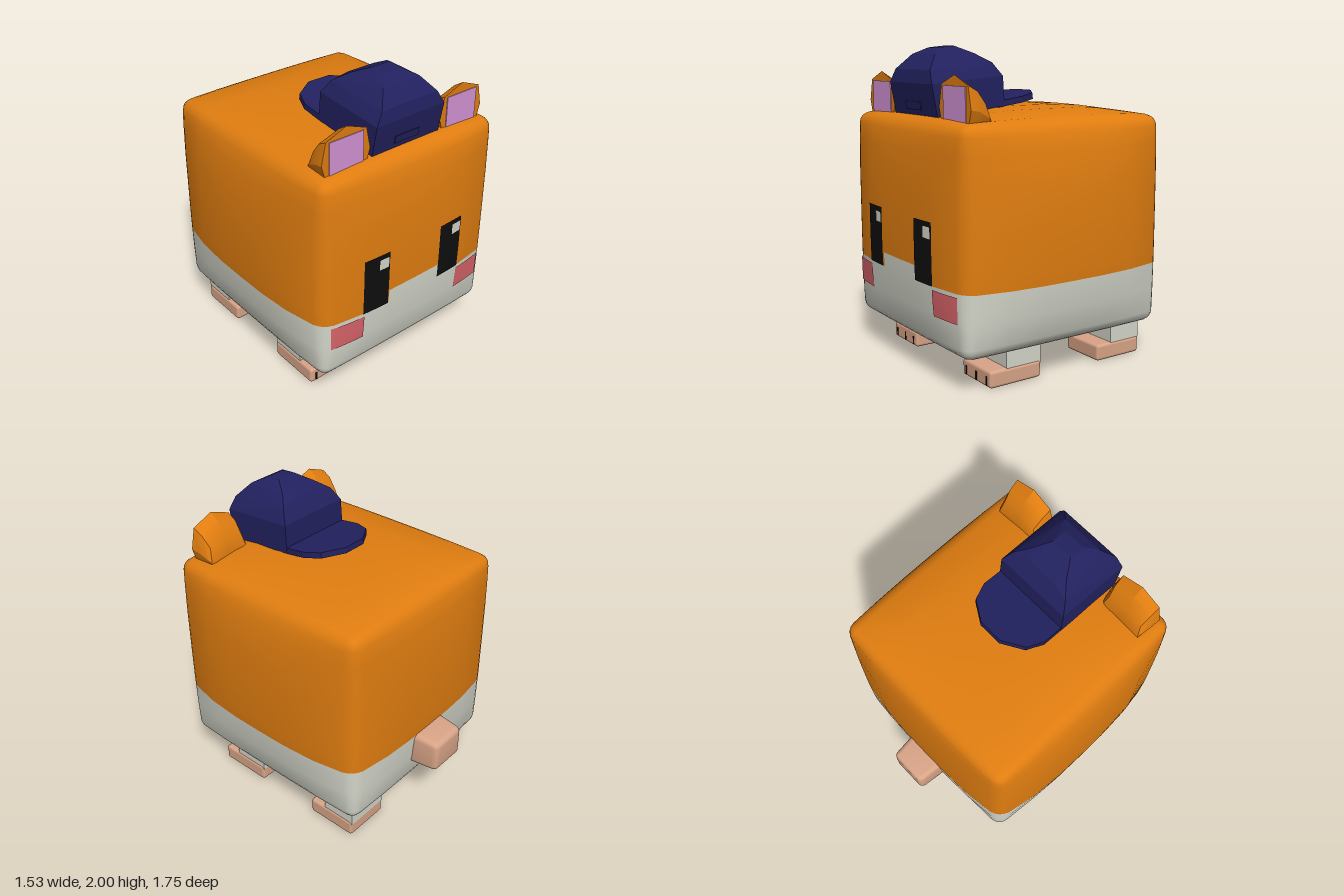
import * as THREE from 'three';
import { toCreasedNormals } from 'three/addons/utils/BufferGeometryUtils.js';
import { RoundedBoxGeometry } from 'three/addons/geometries/RoundedBoxGeometry.js';
import { ConvexGeometry } from 'three/addons/geometries/ConvexGeometry.js';

const material = (name, color) => {
  const m = new THREE.MeshStandardMaterial({ color });
  m.name = name;
  return m;
};

// Body half sizes, centre and edge radius
const HALF = new THREE.Vector3(0.68, 0.675, 0.73);
const CENTRE = new THREE.Vector3(0, 0.895, 0.08);
const RADIUS = 0.07;

// Rounds the edges of a box point and puffs its faces outward
function puff(p) {
  const inner = HALF.clone().subScalar(RADIUS);
  const q = p.clone().clamp(inner.clone().negate(), inner);
  const d = p.clone().sub(q);
  if (d.lengthSq() > 0) {
    const reach = Math.max(Math.abs(d.x), Math.abs(d.y), Math.abs(d.z));
    d.setLength(reach);
  }
  p.copy(q).add(d);
  const t = p.clone().divide(HALF);
  const f = (v) => 1 - Math.min(1, Math.abs(v)) ** 3;
  p.x += 0.085 * t.x * f(t.y) * f(t.z);
  p.z += 0.06 * t.z * f(t.x) * f(t.y);
  p.y += (t.y > 0 ? 0.065 : -0.02) * t.y ** 4 * f(t.x) * f(t.z);
  return p.add(CENTRE);
}

function bodyGeometry() {
  // Grid lines of the box, placed so the colour border follows them
  const xs = [-0.68, -0.645, -0.61, -0.4, -0.21, 0, 0.21, 0.4, 0.61, 0.645, 0.68];
  const ys = [0.22, 0.255, 0.29, 0.45, 0.62, 0.71, 0.9, 1.2, 1.4, 1.5, 1.535, 1.57].map((y) => y - CENTRE.y);
  const zs = [-0.73, -0.695, -0.66, -0.45, -0.22, 0, 0.22, 0.45, 0.66, 0.695, 0.73];
  const geo = new THREE.BoxGeometry(2, 2, 2, xs.length - 1, ys.length - 1, zs.length - 1);
  const pos = geo.attributes.position;
  const stop = (list, v) => list[Math.round(((v + 1) / 2) * (list.length - 1))];
  const p = new THREE.Vector3();
  for (let i = 0; i < pos.count; i++) {
    p.set(stop(xs, pos.getX(i)), stop(ys, pos.getY(i)), stop(zs, pos.getZ(i)));
    puff(p);
    pos.setXYZ(i, p.x, p.y, p.z);
  }
  // Sort faces into upper fur and pale belly, with a raised muzzle in front
  const upper = [], lower = [];
  const index = geo.index.array;
  for (let i = 0; i < index.length; i += 3) {
    const tri = [index[i], index[i + 1], index[i + 2]];
    const mean = (get) => tri.reduce((s, k) => s + get(k), 0) / 3;
    const x = mean((k) => pos.getX(k)), y = mean((k) => pos.getY(k)), z = mean((k) => pos.getZ(k));
    const pale = y < 0.62 || (y < 0.71 && z > 0.8 && Math.abs(x) < 0.21);
    (pale ? lower : upper).push(...tri);
  }
  geo.setIndex([...upper, ...lower]);
  geo.clearGroups();
  geo.addGroup(0, upper.length, 0);
  geo.addGroup(upper.length, lower.length, 1);
  return toCreasedNormals(geo, 0.6);
}

// Thin patch that follows the curved front of the body
function facePatch(x0, x1, y0, y1, lift) {
  const geo = new THREE.PlaneGeometry(x1 - x0, y1 - y0, 6, 6);
  geo.translate((x0 + x1) / 2, (y0 + y1) / 2, 0);
  const pos = geo.attributes.position;
  const p = new THREE.Vector3();
  for (let i = 0; i < pos.count; i++) {
    puff(p.set(pos.getX(i), pos.getY(i) - CENTRE.y, HALF.z));
    pos.setXYZ(i, p.x, p.y, p.z + lift);
  }
  geo.computeVertexNormals();
  return geo;
}

const hull = (points) => new ConvexGeometry(points.map((p) => new THREE.Vector3(...p)));

// Points mirrored in x
const mirrored = (points) => points.flatMap(([x, y, z]) => [[x, y, z], [-x, y, z]]);

export function createModel() {
  const model = new THREE.Group();
  model.name = 'hamster';
  const fur = material('orange fur', 0xe07d10);
  const cream = material('cream fur', 0xd4d6ca);
  const skin = material('peach skin', 0xd9a487);
  const navy = material('navy cloth', 0x22215f);
  const lilac = material('lilac inner ear', 0xd393d5);
  const blush = material('red blush', 0xd9646a);
  const black = material('black', 0x0e0e0e);

  const add = (name, geo, mat, x = 0, y = 0, z = 0) => {
    const mesh = new THREE.Mesh(geo, mat);
    mesh.name = name;
    mesh.position.set(x, y, z);
    model.add(mesh);
    return mesh;
  };

  add('body', bodyGeometry(), [fur, cream]);

  // Face
  add('rightEye', facePatch(-0.41, -0.22, 0.62, 1.0, 0.004), black);
  add('leftEye', facePatch(0.2, 0.39, 0.62, 1.0, 0.004), black);
  add('rightEyeGlint', facePatch(-0.3, -0.23, 0.9, 0.97, 0.008), cream);
  add('leftEyeGlint', facePatch(0.305, 0.38, 0.9, 0.97, 0.008), cream);
  add('rightCheek', facePatch(-0.63, -0.4, 0.44, 0.6, 0.005), blush);
  add('leftCheek', facePatch(0.385, 0.615, 0.44, 0.6, 0.005), blush);

  // Ears: flat in front, domed behind
  const outline = [[-0.145, -0.02], [-0.175, 0.08], [-0.145, 0.215], [0, 0.27], [0.145, 0.215], [0.175, 0.08], [0.145, -0.02]];
  const rings = [[0.73, 1, 1], [0.665, 0.97, 0.84], [0.605, 0.9, 0.5], [0.58, 0.85, 0.15]];
  const earPoints = rings.flatMap(([z, sx, sy]) => outline.map(([x, y]) => [x * sx, y > 0 ? y * sy : y, z]));
  for (const [side, s] of [['left', 1], ['right', -1]]) {
    add(side + 'Ear', toCreasedNormals(hull(earPoints), 0.5), fur, s * 0.45, 1.57, 0);
    add(side + 'InnerEar', new THREE.BoxGeometry(0.245, 0.205, 0.008), lilac, s * 0.45, 1.675, 0.731);
  }

  // Cap worn backwards
  const crown = mirrored([
    [0.262, 1.575, 0.73], [0.262, 1.64, 0.26], [0.262, 1.78, 0.768], [0.258, 1.82, 0.27],
    [0.215, 1.86, 0.752], [0.215, 1.9, 0.32], [0.14, 1.95, 0.675], [0.14, 1.955, 0.4],
    [0.07, 1.99, 0.6], [0.07, 2.0, 0.5], [0.1, 1.93, 0.34],
  ]);
  add('capCrown', hull(crown), navy);
  add('capStrap', new THREE.BoxGeometry(0.185, 0.05, 0.009), navy, -0.008, 1.645, 0.743).rotation.x = 0.176;

  // Brim: flat outline, tilted up toward the back
  const brim = new THREE.Shape([[-0.26, -0.04], [0.26, -0.04], [0.26, 0.14], [0.215, 0.25], [0.08, 0.335],
    [-0.08, 0.335], [-0.215, 0.25], [-0.26, 0.14]].map(([x, y]) => new THREE.Vector2(x, y)));
  const brimGeo = new THREE.ExtrudeGeometry(brim, { depth: 0.038, bevelEnabled: false });
  brimGeo.rotateX(-Math.PI / 2);
  add('capBrim', brimGeo, navy, 0, 1.635, 0.26).rotation.x = 0.14;

  // Legs, feet and toe lines
  for (const [side, s] of [['Left', 1], ['Right', -1]]) {
    const x = s * 0.45;
    for (const [end, legZ, footZ, length] of [['front', 0.355, 0.415, 0.37], ['back', -0.453, -0.395, 0.35]]) {
      add(end + side + 'Leg', new THREE.BoxGeometry(0.3, 0.2, end === 'front' ? 0.25 : 0.235), cream, x, 0.19, legZ);
      add(end + side + 'Foot', new RoundedBoxGeometry(0.315, 0.107, length, 2, 0.02), skin, x, 0.0535, footZ);
    }
    for (const toe of [-0.113, 0, 0.113]) {
      add('front' + side + 'Toe', new THREE.BoxGeometry(0.014, 0.055, 0.008), black, x + toe, 0.042, 0.599);
    }
  }

  // Tail, tapering backward
  const tail = new RoundedBoxGeometry(0.29, 0.23, 0.27, 3, 0.035);
  const pos = tail.attributes.position;
  for (let i = 0; i < pos.count; i++) {
    const k = 1 + pos.getZ(i) * 0.65;
    pos.setXY(i, pos.getX(i) * k, pos.getY(i) * k);
  }
  add('tail', toCreasedNormals(tail, 0.7), skin, 0, 0.507, -0.735);

  return model;
}
